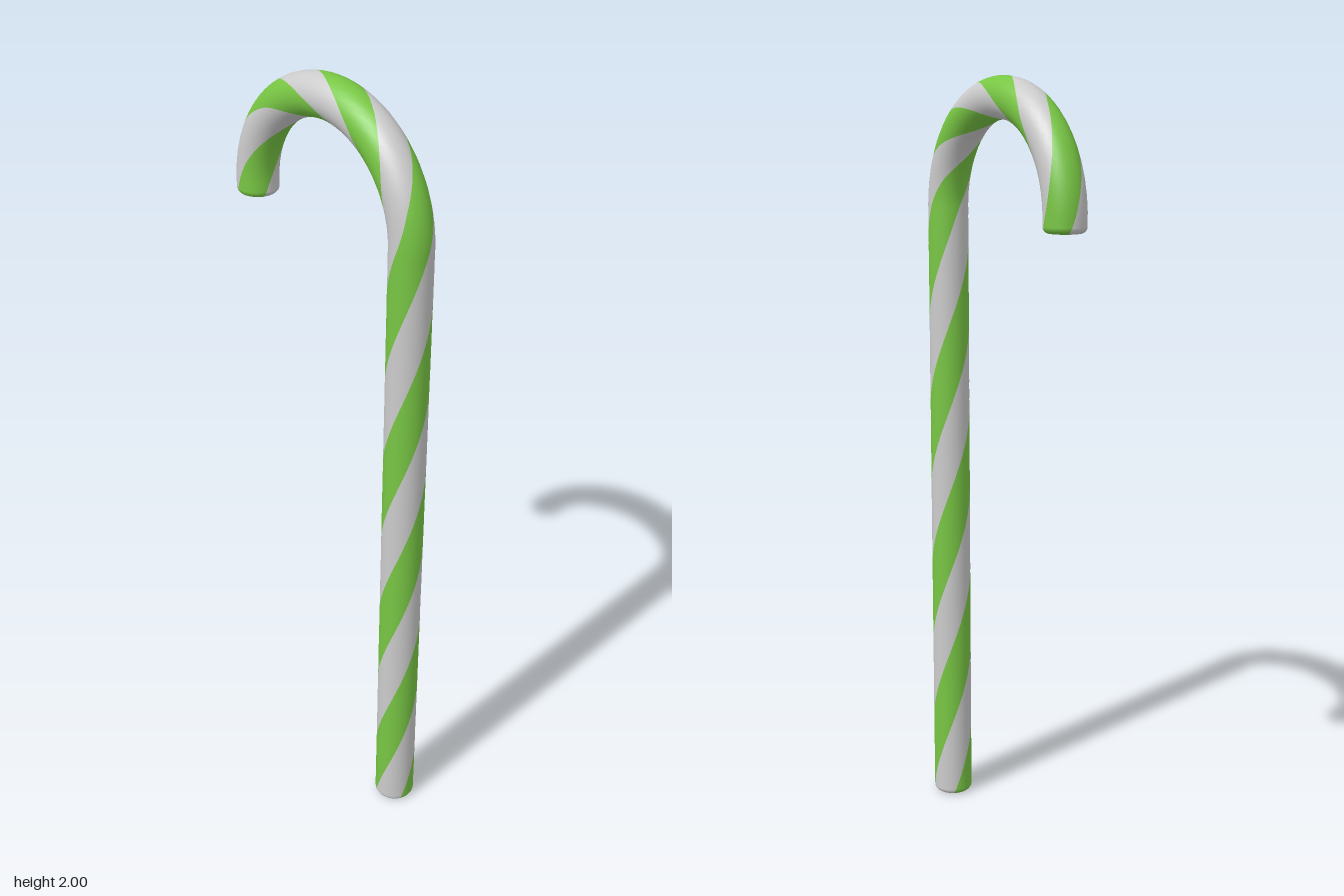
import * as THREE from 'three';

const R = 0.276;            // hook radius
const TUBE = 0.053;         // stick radius
const SHAFT = 1.67;         // height where the hook begins
const HOOK_END = SHAFT + Math.PI * R;
const LENGTH = HOOK_END + 0.035;
const YAW = Math.atan2(0.105, 0.255);
const BEVEL = 0.016;

// Stripe twist in degrees, tighter over the hook: [distance along stick, angle]
const TWIST = [
  [0, -72.7], [SHAFT, 588], [SHAFT + 0.325 * R, 630], [SHAFT + 1.425 * R, 810],
  [SHAFT + 2.2 * R, 943], [HOOK_END, 1043], [LENGTH, 1057],
];

function twistAt(s) {
  let k = 0;
  while (k < TWIST.length - 2 && s > TWIST[k + 1][0]) k++;
  const [s0, a0] = TWIST[k], [s1, a1] = TWIST[k + 1];
  return THREE.MathUtils.degToRad(a0 + (a1 - a0) * (s - s0) / (s1 - s0));
}

// Centre point, outward direction and tangent at a distance along the stick
function frameAt(s) {
  const phi = THREE.MathUtils.clamp((s - SHAFT) / R, 0, Math.PI);
  const c = Math.cos(phi), d = Math.sin(phi);
  const extra = s < SHAFT ? s - SHAFT : s > HOOK_END ? HOOK_END - s : 0;
  const turn = (x, y) => new THREE.Vector3(x * Math.cos(YAW), y, x * Math.sin(YAW));
  return {
    centre: turn(R * c, SHAFT + R * d + extra),
    out: turn(c, d),
    tangent: turn(-d, c),
  };
}

// Rows along the stick: s, radius and normal slope (-1 start face, 1 end face)
function buildRows() {
  const start = [{ s: 0, r: 0, n: -1 }];
  for (let i = 0; i <= 5; i++) {
    const a = (i / 5) * Math.PI / 2;
    start.push({ s: BEVEL * (1 - Math.cos(a)), r: TUBE - BEVEL * (1 - Math.sin(a)), n: -Math.cos(a) });
  }
  const end = start.map(({ s, r, n }) => ({ s: LENGTH - s, r, n: -n })).reverse();
  const body = [];
  const count = 150;
  for (let i = 1; i < count; i++) {
    body.push({ s: BEVEL + (LENGTH - 2 * BEVEL) * i / count, r: TUBE, n: 0 });
  }
  return [...start, ...body, ...end];
}

// One stripe: a quarter of the surface swept along the twisting stick
function stripeGeometry(offset) {
  const front = new THREE.Vector3(-Math.sin(YAW), 0, Math.cos(YAW));
  const rows = buildRows(), cols = 6;
  const positions = [], normals = [], index = [];
  rows.forEach(({ s, r, n }, i) => {
    const { centre, out, tangent } = frameAt(s);
    for (let j = 0; j <= cols; j++) {
      const a = twistAt(s) + offset + (j / cols - 0.5) * Math.PI / 2;
      const dir = front.clone().multiplyScalar(Math.cos(a)).addScaledVector(out, Math.sin(a));
      positions.push(...centre.clone().addScaledVector(dir, r).toArray());
      normals.push(...dir.multiplyScalar(Math.sqrt(1 - n * n)).addScaledVector(tangent, n).toArray());
      if (i < rows.length - 1 && j < cols) {
        const p = i * (cols + 1) + j, q = p + cols + 1;
        index.push(p, p + 1, q, p + 1, q + 1, q);
      }
    }
  });
  const g = new THREE.BufferGeometry();
  g.setAttribute('position', new THREE.Float32BufferAttribute(positions, 3));
  g.setAttribute('normal', new THREE.Float32BufferAttribute(normals, 3));
  g.setIndex(index);
  return g;
}

export function createModel() {
  const model = new THREE.Group();
  model.name = 'candyCane';
  const green = new THREE.MeshStandardMaterial({ color: 0x78c644 });
  const grey = new THREE.MeshStandardMaterial({ color: 0xcccccc });

  // Two green and two pale stripes alternate around the stick
  for (let k = 0; k < 4; k++) {
    const stripe = new THREE.Mesh(stripeGeometry(k * Math.PI / 2), k % 2 ? grey : green);
    stripe.name = k % 2 ? 'paleStripe' : 'greenStripe';
    model.add(stripe);
  }
  return model;
}
